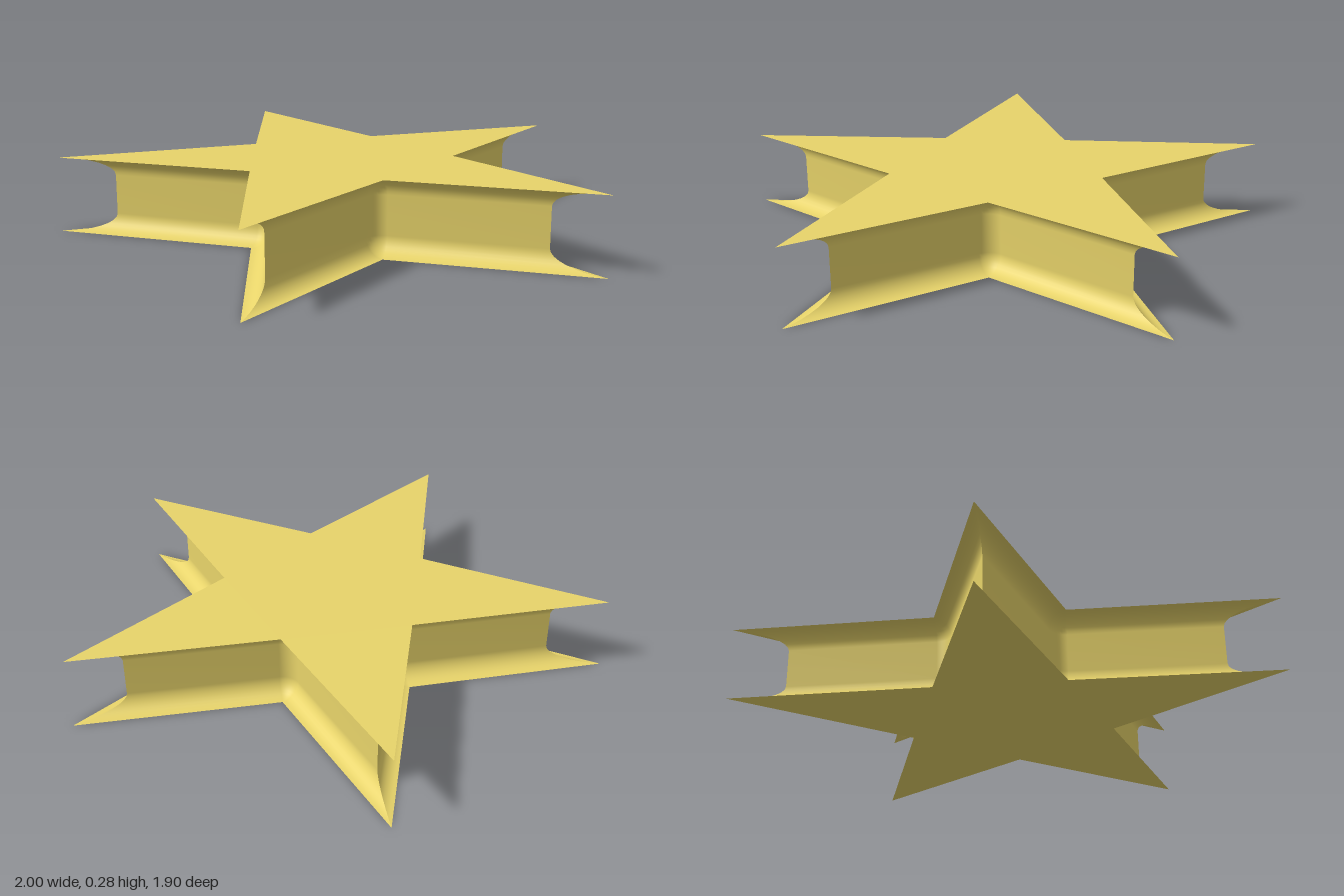
import * as THREE from 'three';

const RAD = Math.PI / 180;
const HEIGHT = 0.28, TIP = 1 / Math.cos(18 * RAD), VALLEY = 0.41, INSET = 0.067;
const CENTRE_Z = 0.1;
// half the angle of a star point
const HALF = Math.atan2(VALLEY * Math.sin(36 * RAD), TIP - VALLEY * Math.cos(36 * RAD));

// angle 0 points to the back, positive towards +x
const polar = (r, a) => [r * Math.sin(a), -r * Math.cos(a)];

// outline between two neighbouring tips, moved inwards by o, with a rounded valley
function outline(k, o, steps = 8) {
  const a = k * 72 * RAD, mid = a + 36 * RAD, beta = 54 * RAD - HALF;
  const r = TIP - o / Math.sin(HALF);
  const [vx, vz] = polar(VALLEY, mid);
  const pts = [polar(r, a)];
  for (let i = 0; i <= steps; i++) {
    const [dx, dz] = polar(o, mid + Math.PI + beta * (1 - (2 * i) / steps));
    pts.push([vx + dx, vz + dz]);
  }
  pts.push(polar(r, a + 72 * RAD));
  return pts;
}

// wall profile: [inset, height], a hollow fillet at the bottom and at the top
function wallProfile(steps = 8) {
  const low = [];
  for (let i = 0; i <= steps; i++) {
    const t = (i / steps) * Math.PI / 2;
    low.push([INSET * Math.sin(t), INSET * (1 - Math.cos(t))]);
  }
  return [...low, ...low.map(([o, y]) => [o, HEIGHT - y]).reverse()];
}

function wallGeometry(k) {
  const pos = [], index = [];
  const rows = wallProfile().map(([o, y]) => outline(k, o).map(([x, z]) => [x, y, z]));
  const n = rows[0].length;
  rows.forEach((row) => row.forEach((p) => pos.push(...p)));
  for (let i = 0; i < rows.length - 1; i++) {
    for (let j = 0; j < n - 1; j++) {
      const a = i * n + j, b = a + n;
      index.push(a, b, b + 1, a, b + 1, a + 1);
    }
  }
  const g = new THREE.BufferGeometry();
  g.setAttribute('position', new THREE.Float32BufferAttribute(pos, 3));
  g.setIndex(index);
  g.computeVertexNormals();
  return g;
}

// flat star, facing up (side 1) or down (side -1)
function faceGeometry(side) {
  const pts = [];
  for (let i = 0; i < 10; i++) {
    const [x, z] = polar(i % 2 ? VALLEY : TIP, i * 36 * RAD);
    pts.push(new THREE.Vector2(x, -side * z));
  }
  return new THREE.ShapeGeometry(new THREE.Shape(pts)).rotateX(-side * Math.PI / 2);
}

export function createModel() {
  const material = new THREE.MeshStandardMaterial({ color: 0xe8d46a });
  const star = new THREE.Group();
  star.name = 'star';
  const add = (name, geometry, y = 0) => {
    const mesh = new THREE.Mesh(geometry, material);
    mesh.name = name;
    mesh.position.y = y;
    star.add(mesh);
  };

  // star-shaped faces
  add('topFace', faceGeometry(1), HEIGHT);
  add('bottomFace', faceGeometry(-1));

  // hollow-filleted walls, one from each tip to the next
  for (let k = 0; k < 5; k++) add('wall' + (k + 1), wallGeometry(k));

  star.position.z = CENTRE_Z;
  const model = new THREE.Group();
  model.add(star);
  return model;
}
